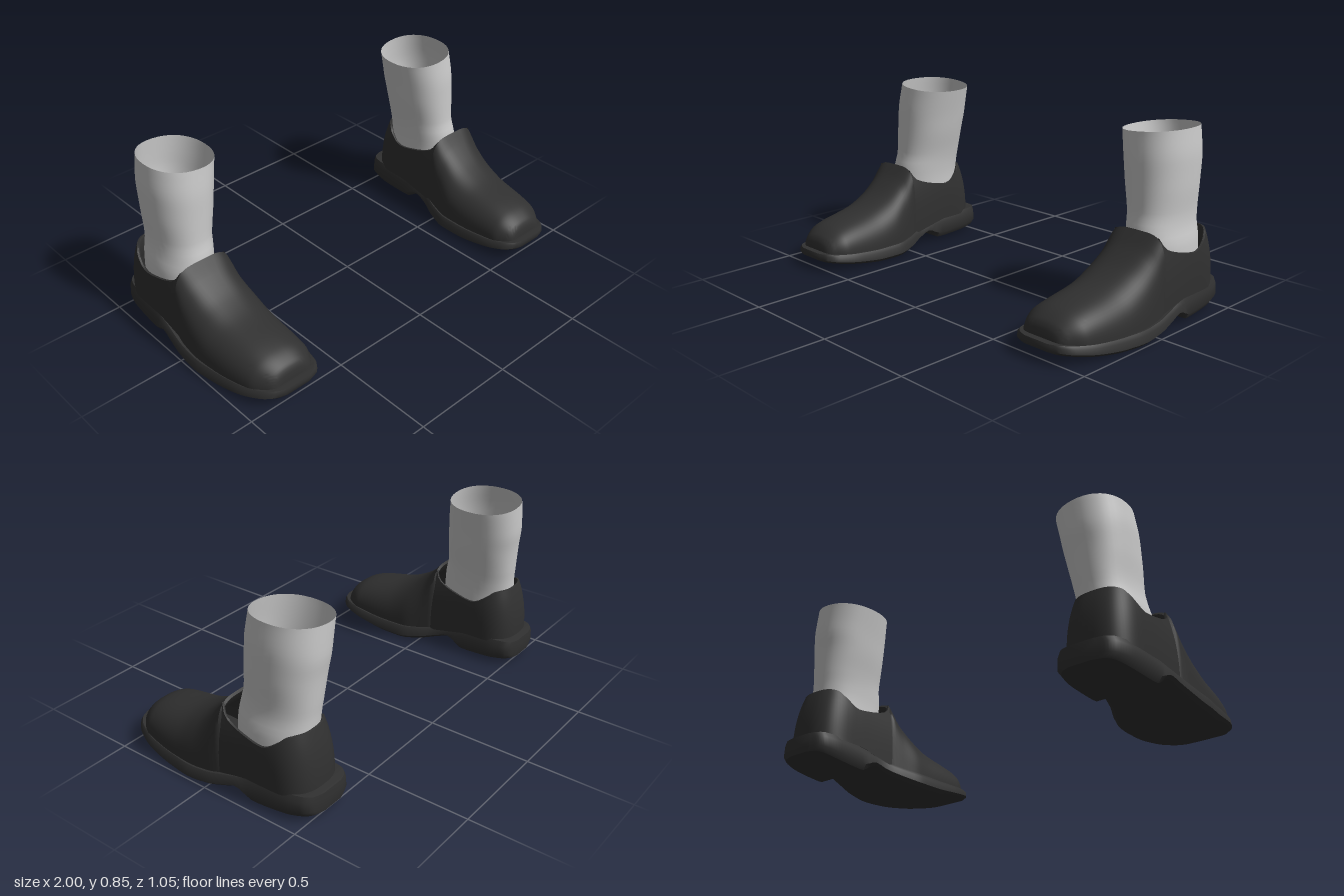
import * as THREE from 'three';
import { toCreasedNormals } from 'three/addons/utils/BufferGeometryUtils.js';

// Smooth monotone interpolation of table rows [key, ...values], keys descending
function sample(table, k) {
  const n = table.length - 1;
  if (k >= table[0][0]) return table[0].slice(1);
  if (k <= table[n][0]) return table[n].slice(1);
  let i = 0;
  while (table[i + 1][0] > k) i++;
  const slope = (a, c) => (table[a + 1][c] - table[a][c]) / (table[a + 1][0] - table[a][0]);
  const tangent = (a, c) => {
    if (a === 0) return slope(0, c);
    if (a === n) return slope(n - 1, c);
    const p = slope(a - 1, c), q = slope(a, c);
    return p * q <= 0 ? 0 : (2 * p * q) / (p + q);
  };
  const h = table[i + 1][0] - table[i][0], t = (k - table[i][0]) / h;
  return table[i].slice(1).map((_, j) => {
    const c = j + 1;
    return (1 + 2 * t) * (1 - t) ** 2 * table[i][c] + t * (1 - t) ** 2 * h * tangent(i, c)
      + t * t * (3 - 2 * t) * table[i + 1][c] + t * t * (t - 1) * h * tangent(i + 1, c);
  });
}

// Skin rows of [x, y, z] points; side = -1 mirrors the part in x
function loft(rows, side, closed, crease = 0.8) {
  const w = rows[0].length, pos = [], idx = [];
  rows.forEach(r => r.forEach(p => pos.push(p[0] * side, p[1], p[2])));
  for (let i = 0; i < rows.length - 1; i++) {
    for (let j = 0; j < (closed ? w : w - 1); j++) {
      const a = i * w + j, b = a + w, c = i * w + (j + 1) % w, d = c + w;
      if (side > 0) idx.push(a, b, c, c, b, d);
      else idx.push(a, c, b, c, d, b);
    }
  }
  const g = new THREE.BufferGeometry();
  g.setAttribute('position', new THREE.Float32BufferAttribute(pos, 3));
  g.setIndex(idx);
  return toCreasedNormals(g, crease);
}

const pow = (v, e) => Math.sign(v) * Math.abs(v) ** e;

// z, inner x, outer x, bottom y, top y
const SOLE = [
  [0.525, 0.69, 0.84, 0.055, 0.09], [0.51, 0.65, 0.88, 0.05, 0.09], [0.46, 0.61, 0.925, 0.04, 0.085],
  [0.35, 0.585, 0.967, 0.02, 0.075], [0.2, 0.578, 0.99, 0.002, 0.067], [0.1, 0.58, 1.0, 0, 0.067],
  [0, 0.605, 0.997, 0.012, 0.075], [-0.1, 0.643, 0.985, 0.038, 0.095], [-0.155, 0.65, 0.978, 0.055, 0.107],
  [-0.24, 0.648, 0.972, 0.012, 0.12], [-0.4, 0.645, 0.96, 0.02, 0.13], [-0.48, 0.655, 0.94, 0.03, 0.13],
  [-0.515, 0.68, 0.91, 0.034, 0.127], [-0.53, 0.72, 0.86, 0.035, 0.125],
];
// z, inner x, outer x, base y, top y, squareness
const VAMP = [
  [0.495, 0.69, 0.85, 0.075, 0.08, 2.4], [0.49, 0.67, 0.865, 0.07, 0.125, 2.4],
  [0.47, 0.645, 0.89, 0.07, 0.16, 2.4], [0.4, 0.61, 0.938, 0.065, 0.2, 2.4],
  [0.2, 0.6, 0.972, 0.055, 0.245, 2.4], [0.1, 0.602, 0.978, 0.055, 0.287, 2.6],
  [0, 0.625, 0.973, 0.065, 0.36, 3.2], [-0.06, 0.643, 0.963, 0.075, 0.425, 4.5],
];
// z, rim height
const COLLAR = [[-0.06, 0.41], [-0.075, 0.38], [-0.1, 0.355], [-0.2, 0.32], [-0.29, 0.305],
  [-0.37, 0.343], [-0.42, 0.373], [-0.46, 0.38]];
// y, inner x, outer x, back z, front z
const SOCK = [
  [0.832, 0.58, 0.897, -0.466, -0.12], [0.7, 0.605, 0.911, -0.468, -0.104], [0.6, 0.622, 0.911, -0.457, -0.1],
  [0.47, 0.65, 0.906, -0.447, -0.093], [0.42, 0.657, 0.91, -0.442, -0.08], [0.34, 0.662, 0.927, -0.44, -0.07],
  [0.2, 0.66, 0.935, -0.44, -0.066],
];

// Welt and heel, as sections along the foot
function soleGeometry(side) {
  const rows = [], N = 64;
  for (let i = 0; i <= N; i++) {
    const z = -0.0025 + 0.5275 * Math.cos(Math.PI * i / N);
    const [a, b, lo, hi] = sample(SOLE, z), h = hi - lo;
    const ring = [[b, lo + h * 0.25, z], [b - 0.003, lo + h * 0.75, z], [b - 0.014, hi, z],
      [a + 0.014, hi, z], [a + 0.003, lo + h * 0.75, z], [a, lo + h * 0.25, z],
      [a + 0.018, lo, z], [b - 0.018, lo, z]];
    const tip = ring.map(() => [(a + b) / 2, (lo + hi) / 2, z]);
    if (i === 0) rows.push(tip);
    rows.push(ring);
    if (i === N) rows.push(tip);
  }
  return loft(rows, side, true, 0.7);
}

// Toe and instep: closed arches, ending in a turned-in lip
function vampGeometry(side) {
  const arch = (z, a, b, lo, hi, n) => Array.from({ length: 33 }, (_, j) => {
    const t = Math.PI * j / 32;
    return [(a + b) / 2 + (b - a) / 2 * pow(Math.cos(t), 2 / n),
      lo + (hi - lo) * Math.abs(Math.sin(t)) ** (2 / n), z];
  });
  const rows = [];
  for (let i = 0; i <= 44; i++) {
    const z = 0.495 - 0.555 * (i / 44) ** 1.5;
    rows.push(arch(z, ...sample(VAMP, z)));
  }
  const [a, b, lo, hi, n] = sample(VAMP, -0.06);
  rows.push(arch(-0.068, a + 0.008, b - 0.008, lo, hi - 0.01, n));
  rows.push(arch(-0.062, a + 0.015, b - 0.015, lo, hi - 0.022, n));
  rows.push(arch(0, a + 0.02, b - 0.02, lo, hi - 0.1, n));
  return loft(rows, side, false, 1);
}

// Quarters and heel counter: a horseshoe wall with a collar rim
function quarterGeometry(side) {
  const cx = 0.803, cz = -0.33, plan = [];
  for (let i = 0; i < 14; i++) plan.push([1, 0, -0.06 + (cz + 0.06) * i / 14]);
  for (let i = 0; i <= 28; i++) {
    const t = Math.PI * i / 28;
    plan.push([pow(Math.cos(t), 0.75), Math.abs(Math.sin(t)) ** 0.75, cz]);
  }
  for (let i = 13; i >= 0; i--) plan.push([-1, 0, -0.06 + (cz + 0.06) * i / 14]);
  const rows = plan.map(([ux, uz, z0]) => {
    const z = z0 - 0.165 * uz, base = 0.075 + 0.04 * Math.min(1, (-0.06 - z) / 0.2);
    const rim = sample(COLLAR, z)[0], half = 0.16 - 0.005 * (z0 + 0.06) / (cz + 0.06);
    const at = (y, extra) => {
      const inset = (0.04 + 0.03 * uz) * Math.max(0, (y - base) / 0.33) ** (3 - 0.8 * uz) + extra;
      return [cx + ux * (half - inset), y, z0 - uz * (0.165 - inset)];
    };
    const wall = [];
    for (let k = 0; k <= 9; k++) wall.push(at(base + (rim - base) * k / 9, 0));
    wall.push(at(rim + 0.002, 0.008), at(rim - 0.006, 0.015), at(rim - 0.13, 0.015));
    return wall;
  });
  return loft(rows, side, false, 1);
}

// Open sock tube with a slightly tilted top edge
function sockGeometry(side) {
  const rows = [];
  for (let i = 0; i <= 24; i++) {
    const y = 0.2 + 0.632 * i / 24, [a, b, back, front] = sample(SOCK, y);
    const tilt = 0.014 * Math.max(0, (y - 0.6) / 0.232), e = 0.9;
    rows.push(Array.from({ length: 40 }, (_, j) => {
      const t = 2 * Math.PI * j / 40, u = pow(Math.cos(t), e), v = pow(Math.sin(t), e);
      return [(a + b) / 2 + (b - a) / 2 * u, y + tilt * u, (front + back) / 2 + (front - back) / 2 * v];
    }));
  }
  return loft(rows, side, true, 1);
}

export function createModel() {
  const leather = new THREE.MeshStandardMaterial({ color: 0x303030, side: THREE.DoubleSide });
  leather.name = 'black leather';
  const cloth = new THREE.MeshStandardMaterial({ color: 0xc8c8c8, side: THREE.DoubleSide });
  cloth.name = 'light grey cloth';

  const model = new THREE.Group();
  model.name = 'shoesAndSocks';
  for (const side of [1, -1]) {
    const foot = new THREE.Group();
    foot.name = side > 0 ? 'leftFoot' : 'rightFoot';
    const add = (name, geometry, material) => {
      const mesh = new THREE.Mesh(geometry, material);
      mesh.name = name;
      foot.add(mesh);
      return mesh;
    };
    add('sole', soleGeometry(side), leather);
    add('vamp', vampGeometry(side), leather);
    add('quarters', quarterGeometry(side), leather);
    add('sock', sockGeometry(side), cloth);
    // Insole seen down the open sock
    const insole = add('insole', new THREE.CircleGeometry(1, 32).rotateX(-Math.PI / 2), leather);
    insole.scale.set(0.145, 1, 0.2);
    insole.position.set(0.803 * side, 0.15, -0.265);
    model.add(foot);
  }
  return model;
}
